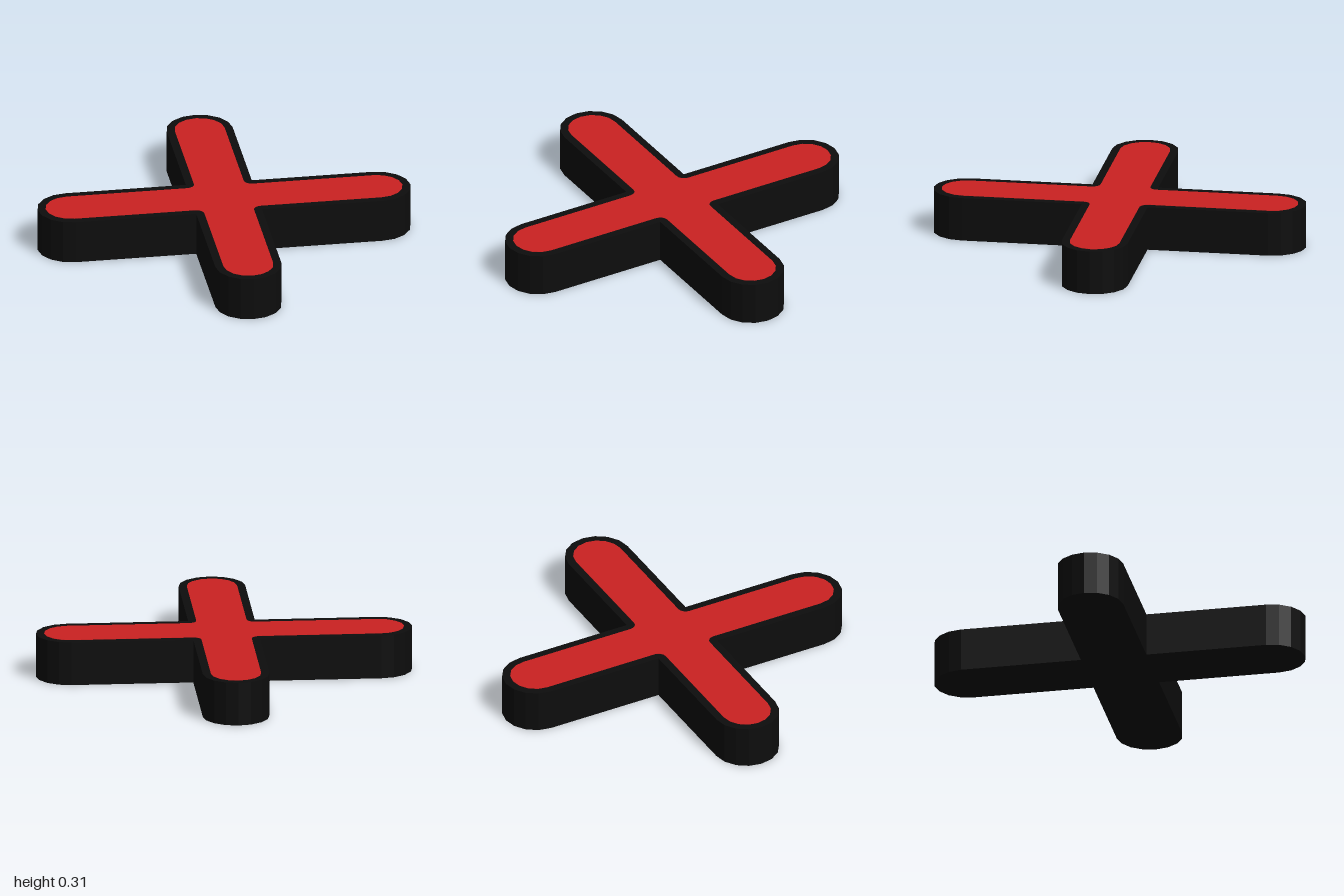
import * as THREE from 'three';

const HALF_WIDTH = 0.233; // arm half width, also the radius of its round end
const REACH = 1 - HALF_WIDTH; // x and z of each arm end's centre
const HEIGHT = 0.31;
const INSET = 0.057; // width of the dark rim

// Four-armed diagonal cross; inset shrinks it and rounds the inner corners
function crossShape(inset) {
  const points = [];
  const arc = (cx, cy, radius, from, to, steps) => {
    for (let i = 0; i <= steps; i++) {
      const t = from + ((to - from) * i) / steps;
      points.push(new THREE.Vector2(cx + radius * Math.cos(t), cy + radius * Math.sin(t)));
    }
  };
  for (let k = 0; k < 4; k++) {
    const a = Math.PI / 4 + (k * Math.PI) / 2;
    const corner = a - Math.PI / 4;
    const r = HALF_WIDTH * Math.SQRT2;
    const cx = r * Math.cos(corner), cy = r * Math.sin(corner);
    if (inset > 0) arc(cx, cy, inset, a + Math.PI, a + Math.PI / 2, 4);
    else points.push(new THREE.Vector2(cx, cy));
    const d = REACH * Math.SQRT2;
    arc(d * Math.cos(a), d * Math.sin(a), HALF_WIDTH - inset, a - Math.PI / 2, a + Math.PI / 2, 8);
  }
  return new THREE.Shape(points);
}

function slab(name, inset, bottom, depth, material) {
  const geometry = new THREE.ExtrudeGeometry(crossShape(inset), { depth, bevelEnabled: false });
  geometry.rotateX(-Math.PI / 2);
  const mesh = new THREE.Mesh(geometry, material);
  mesh.name = name;
  mesh.position.y = bottom;
  return mesh;
}

export function createModel() {
  const black = new THREE.MeshStandardMaterial({ color: 0x0d0d0d });
  black.name = 'black';
  const red = new THREE.MeshStandardMaterial({ color: 0xcc2222 });
  red.name = 'red';

  const group = new THREE.Group();
  group.name = 'cross';
  group.add(slab('crossBody', 0, 0, HEIGHT, black));
  // Thin painted face on the top
  group.add(slab('topFace', INSET, HEIGHT - 0.001, 0.003, red));
  return group;
}
